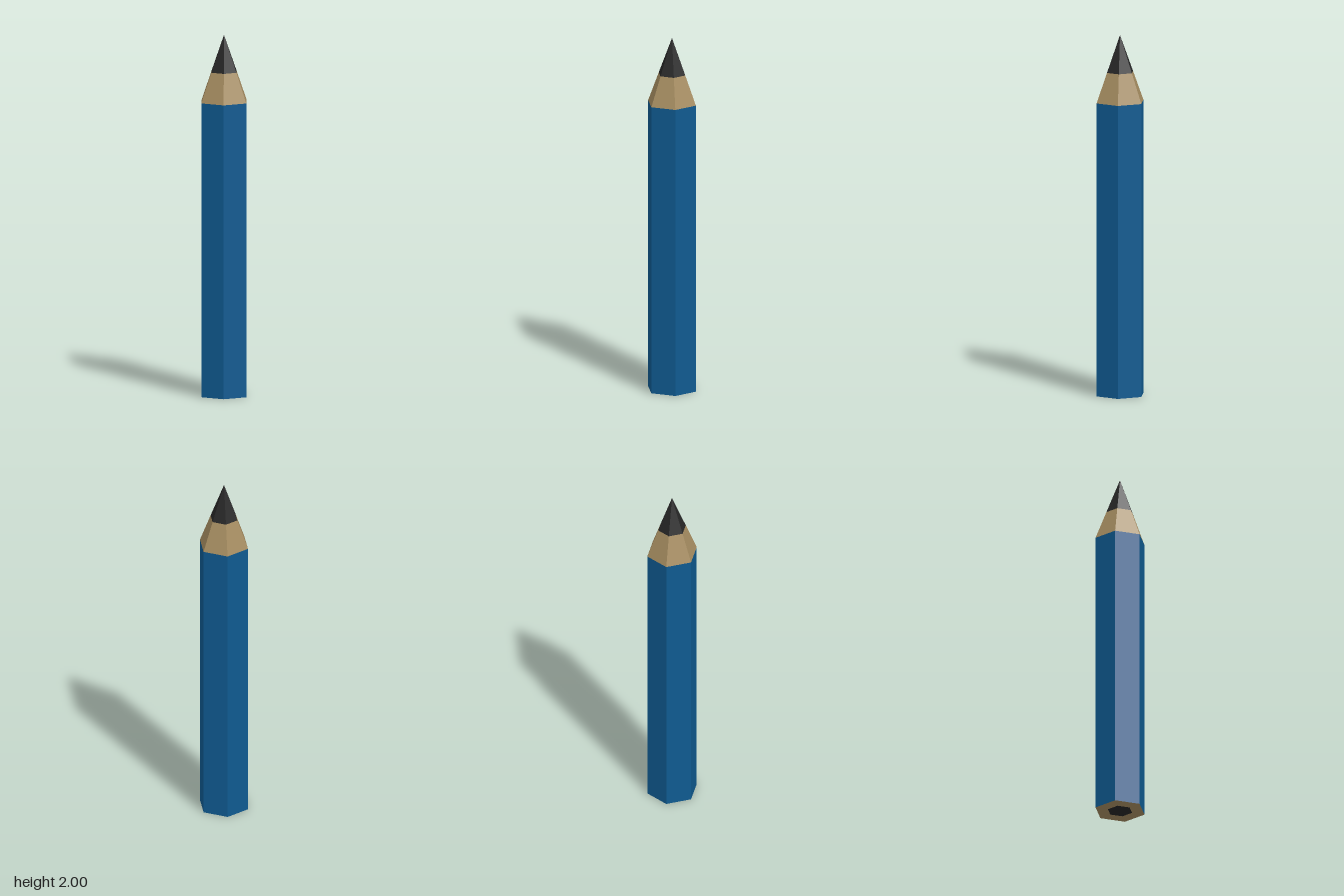
import * as THREE from 'three';

const SIDES = 6;
const RADIUS = 0.142;      // corner radius of the hexagonal shaft
const SHOULDER = 1.63;     // where the sharpened cone begins
const LEAD_START = 1.795;  // where the lead emerges from the wood
const LEAD_RADIUS = 0.079;
const CORE_RADIUS = 0.07;  // lead showing in the flat end

const material = (color) => new THREE.MeshStandardMaterial({ color, flatShading: true });

export function createModel() {
  const group = new THREE.Group();
  const paint = material(0x0f5a90);
  const wood = material(0xa58c60);
  const lead = material(0x262626);

  const add = (name, geometry, mat) => {
    const mesh = new THREE.Mesh(geometry, mat);
    mesh.name = name;
    group.add(mesh);
  };

  // Open six-sided section with corners on the x axis
  const section = (name, y0, y1, r0, r1, mat) => {
    const geometry = new THREE.CylinderGeometry(r1, r0, y1 - y0, SIDES, 1, true, Math.PI / 2);
    geometry.translate(0, (y0 + y1) / 2, 0);
    add(name, geometry, mat);
  };

  section('paintedShaft', 0, SHOULDER, RADIUS, RADIUS, paint);
  section('sharpenedWood', SHOULDER, LEAD_START, RADIUS, LEAD_RADIUS, wood);
  section('leadTip', LEAD_START, 2, LEAD_RADIUS, 0, lead);

  // Flat end facing down: wooden ring around the lead core
  add('woodEnd', new THREE.RingGeometry(CORE_RADIUS, RADIUS, SIDES, 1).rotateX(Math.PI / 2), wood);
  add('leadCoreEnd', new THREE.CircleGeometry(CORE_RADIUS, SIDES).rotateX(Math.PI / 2), lead);

  return group;
}
